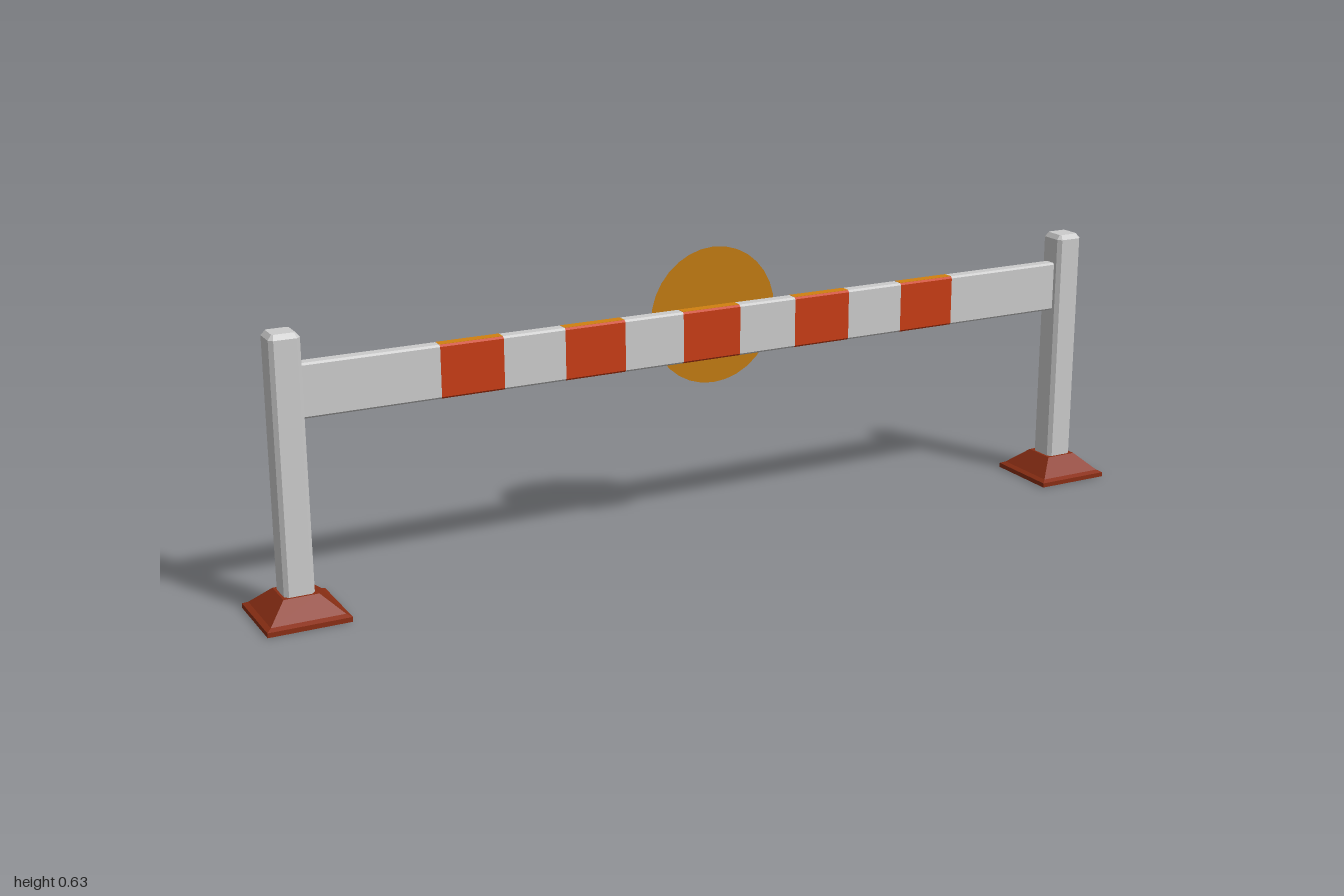
import * as THREE from 'three';

const mat = (color, extra = {}) => new THREE.MeshStandardMaterial({ color, ...extra });
const grey = mat(0xcccccc);
const red = mat(0xc83c14);
const orange = mat(0xd08010);
const rust = mat(0x8a2e14, { flatShading: true });
const signOrange = mat(0xc07a10, { side: THREE.DoubleSide });

function add(parent, name, geometry, material, x = 0, y = 0, z = 0) {
  const mesh = new THREE.Mesh(geometry, material);
  mesh.name = name;
  mesh.position.set(x, y, z);
  parent.add(mesh);
  return mesh;
}

// Rectangle with cut corners
function cutRect(w, h, c) {
  const a = w / 2, b = h / 2;
  return new THREE.Shape([
    [a, -b + c], [a, b - c], [a - c, b], [-a + c, b],
    [-a, b - c], [-a, -b + c], [-a + c, -b], [a - c, -b],
  ].map(([x, y]) => new THREE.Vector2(x, y)));
}

// Square frustum with half widths at the bottom and top
function frustum(bottom, top, y0, y1) {
  return new THREE.CylinderGeometry(top * Math.SQRT2, bottom * Math.SQRT2, y1 - y0, 4)
    .rotateY(Math.PI / 4).translate(0, (y0 + y1) / 2, 0);
}

function createPost(side) {
  const post = new THREE.Group();
  post.name = side > 0 ? 'leftPost' : 'rightPost';
  post.position.x = side * 0.915;

  // Flared foot
  add(post, 'footSlab', frustum(0.085, 0.085, 0, 0.01), rust);
  add(post, 'footLip', frustum(0.085, 0.075, 0.01, 0.015), rust);
  add(post, 'footSlope', frustum(0.075, 0.036, 0.015, 0.051), rust);

  // Upright with cut corners and a bevelled top
  const upright = new THREE.ExtrudeGeometry(cutRect(0.062, 0.062, 0.008), {
    depth: 0.525, bevelEnabled: true, bevelSegments: 1,
    bevelSize: 0.008, bevelOffset: -0.008, bevelThickness: 0.01,
  }).rotateX(-Math.PI / 2);
  add(post, 'upright', upright, grey, 0, 0.04, 0);

  // Slots down the back
  for (const y of [0.49, 0.415, 0.245, 0.17]) {
    add(post, 'slot', new THREE.BoxGeometry(0.015, 0.048, 0.002), rust, 0, y, -0.031);
  }
  return post;
}

function createBeam() {
  const beam = new THREE.Group();
  beam.name = 'beam';
  beam.position.y = 0.455;
  const pitch = 0.134;
  // Eleven sections: plain ends, then alternating stripes
  const cuts = [-0.9];
  for (let i = 0; i < 10; i++) cuts.push((i - 4.5) * pitch);
  cuts.push(0.9);
  for (let i = 0; i < 11; i++) {
    const x0 = cuts[i], length = cuts[i + 1] - x0, striped = i % 2 === 1;
    const section = new THREE.ExtrudeGeometry(cutRect(0.03, 0.11, 0.004), { depth: length, bevelEnabled: false })
      .rotateY(Math.PI / 2);
    add(beam, striped ? 'redStripe' : 'plainSection', section, striped ? red : grey, x0);
    if (striped) {
      add(beam, 'stripeTop', new THREE.BoxGeometry(length, 0.002, 0.022), orange, x0 + length / 2, 0.0545);
    }
  }
  return beam;
}

function createSign() {
  const sign = new THREE.Group();
  sign.name = 'sign';
  sign.position.set(0.02, 0.487, -0.017);
  add(sign, 'disc', new THREE.CircleGeometry(0.147, 32).rotateY(Math.PI), signOrange);
  // Diagonal cross on the back
  for (const s of [-1, 1]) {
    const bar = add(sign, 'crossBar', new THREE.PlaneGeometry(0.25, 0.04).rotateY(Math.PI), grey, 0, 0, -0.001 - (s + 1) * 0.0002);
    bar.rotation.z = s * Math.PI / 4;
  }
  return sign;
}

export function createModel() {
  const model = new THREE.Group();
  model.name = 'barrier';
  model.add(createPost(1), createPost(-1), createBeam(), createSign());
  return model;
}
